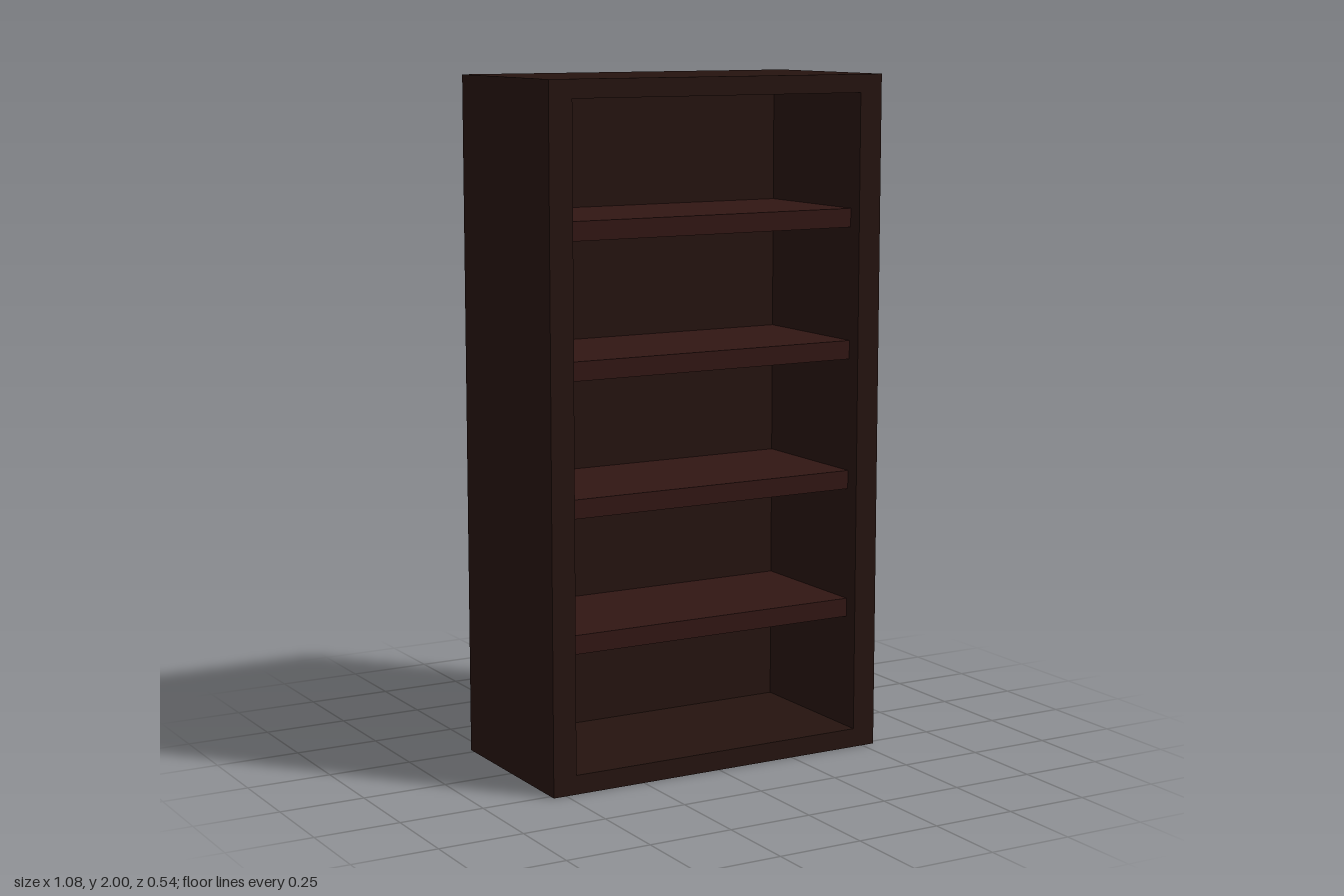
import * as THREE from 'three';

const WIDTH = 1.08, HEIGHT = 2, DEPTH = 0.54;
const INNER = { x: 0.468, bottom: 0.056, top: 1.947 }; // front opening
const BACK = 0.07; // back panel thickness

export function createModel() {
  const bookcase = new THREE.Group();
  bookcase.name = 'bookcase';
  const frameWood = new THREE.MeshStandardMaterial({ color: 0x25130f });
  const shelfWood = new THREE.MeshStandardMaterial({ color: 0x311613 });

  const add = (name, geometry, material, x, y, z) => {
    const mesh = new THREE.Mesh(geometry, material);
    mesh.name = name;
    mesh.position.set(x, y, z);
    bookcase.add(mesh);
  };

  // Outer frame: sides, top and base in one piece around the opening
  const outline = new THREE.Shape();
  outline.moveTo(-WIDTH / 2, 0).lineTo(WIDTH / 2, 0).lineTo(WIDTH / 2, HEIGHT).lineTo(-WIDTH / 2, HEIGHT).closePath();
  const opening = new THREE.Path();
  opening.moveTo(-INNER.x, INNER.bottom).lineTo(-INNER.x, INNER.top).lineTo(INNER.x, INNER.top).lineTo(INNER.x, INNER.bottom).closePath();
  outline.holes.push(opening);
  add('frame', new THREE.ExtrudeGeometry(outline, { depth: DEPTH, bevelEnabled: false }), frameWood, 0, 0, -DEPTH / 2);

  // Back panel fitted inside the frame, flush with the rear
  const innerHeight = INNER.top - INNER.bottom;
  add('backPanel', new THREE.BoxGeometry(INNER.x * 2, innerHeight, BACK), frameWood,
    0, INNER.bottom + innerHeight / 2, -DEPTH / 2 + BACK / 2);

  // Four evenly spaced shelves, set back slightly from the front
  const shelfBack = -DEPTH / 2 + BACK, shelfFront = 0.225, thickness = 0.055;
  const shelf = new THREE.BoxGeometry(INNER.x * 2, thickness, shelfFront - shelfBack);
  for (let i = 0; i < 4; i++) {
    add(`shelf${i + 1}`, shelf, shelfWood, 0, 0.42 + i * 0.388, (shelfFront + shelfBack) / 2);
  }
  return bookcase;
}
